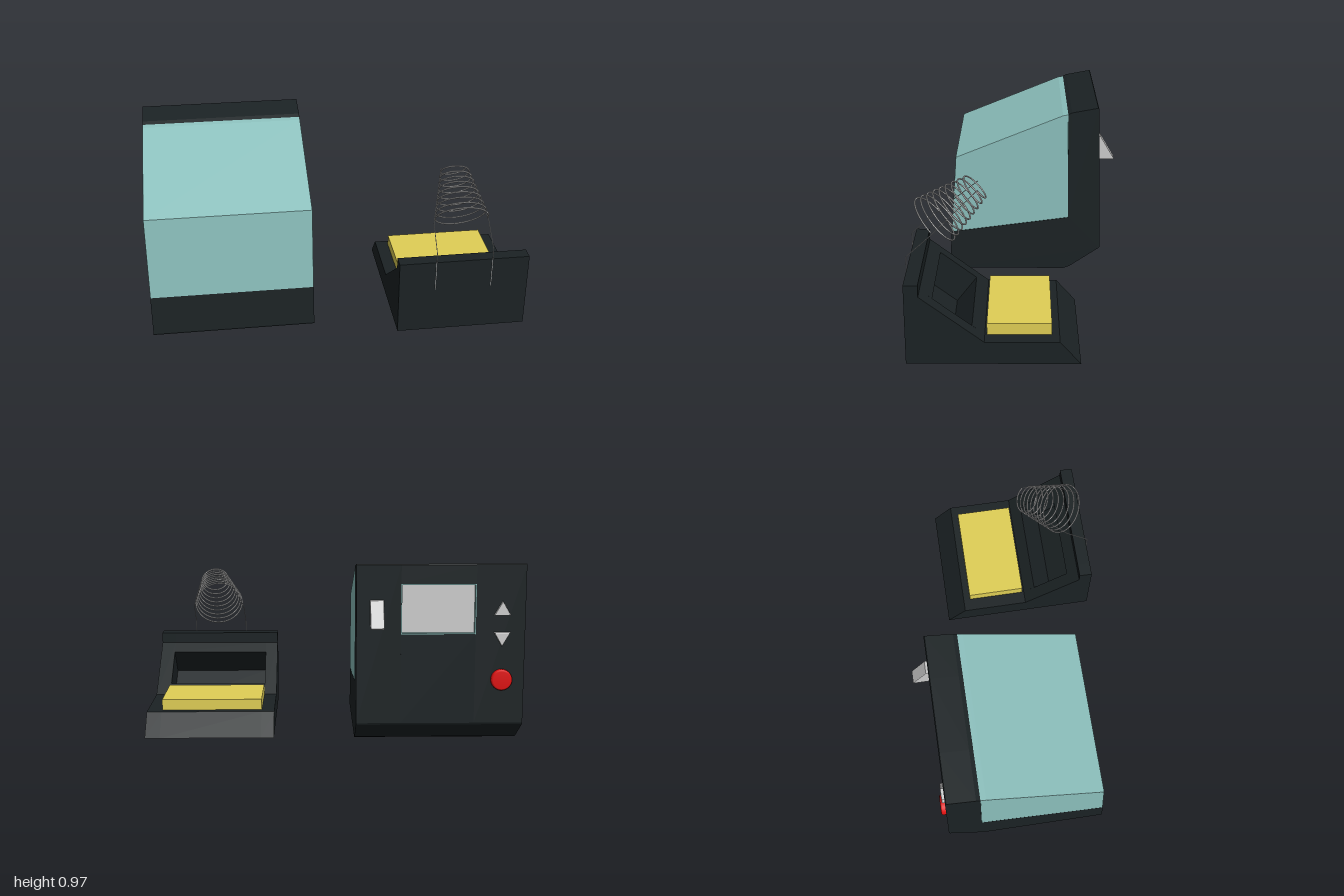
import * as THREE from 'three';

const mat = (color) => new THREE.MeshStandardMaterial({ color });
const dark = mat(0x1b2224), teal = mat(0x8cc0bd), yellow = mat(0xe0cf55), red = mat(0xdd1010), grey = mat(0xcccccc);

function add(parent, name, geometry, material, x = 0, y = 0, z = 0) {
  const mesh = new THREE.Mesh(geometry, material);
  mesh.name = name;
  mesh.position.set(x, y, z);
  parent.add(mesh);
  return mesh;
}

const shapeOf = (pts) => new THREE.Shape(pts.map(([a, b]) => new THREE.Vector2(a, b)));

// Side profile of [z, y] points, extruded from x0 to x1
function prism(pts, x0, x1, bevel = 0) {
  const geo = new THREE.ExtrudeGeometry(shapeOf(pts), {
    depth: x1 - x0 - 2 * bevel, bevelEnabled: bevel > 0, bevelSize: bevel,
    bevelThickness: bevel, bevelOffset: -bevel, bevelSegments: 2,
  });
  return geo.rotateY(-Math.PI / 2).translate(x1 - bevel, 0, 0);
}

// Solid prism whose middle slice uses a notched profile, leaving a pocket
function pocketed(parent, name, before, notch, after, xs) {
  const solid = [...before, ...after];
  const cut = [...before, ...notch, ...after];
  add(parent, name + 'RightSlice', prism(solid, xs[0], xs[1]), dark);
  add(parent, name + 'MiddleSlice', prism(cut, xs[1], xs[2]), dark);
  add(parent, name + 'LeftSlice', prism(solid, xs[2], xs[3]), dark);
}

function createStation() {
  const station = new THREE.Group();
  station.name = 'controlStation';
  const backZ = (y) => -0.475 + 0.03 * (y - 0.14);
  const bottom = 0.61, top = 0.87, depth = 0.04;

  // Dark base and rear shell, with a recess for the display
  pocketed(station, 'darkShell',
    [[0.395, 0], [0.4, 0.01], [0.385, 0.23], [-0.287, 0.32], [-0.279, 0.935], [-0.3, 0.946], [-0.445, 0.973], [-0.45, 0.968]],
    [[backZ(top), top], [backZ(top) + depth, top], [backZ(bottom) + depth, bottom], [backZ(bottom), bottom]],
    [[-0.475, 0.14], [-0.47, 0.13], [-0.3, 0.013], [-0.265, 0]],
    [-1, -0.745, -0.36, -0.13]);

  // Sloped teal housing
  add(station, 'housing', prism(
    [[0.385, 0.23], [0.353, 0.685], [-0.25, 0.93], [-0.279, 0.935], [-0.287, 0.32]], -1, -0.13, 0.003), teal);

  // Controls on the tilted rear face; local z = 0 is the face
  const panel = new THREE.Group();
  panel.name = 'rearControls';
  panel.position.z = backZ(0);
  panel.rotation.x = 0.03;
  station.add(panel);

  const rect = (w, h) => [[-w, -h], [w, -h], [w, h], [-w, h]];
  const frame = shapeOf(rect(0.193, 0.1305));
  frame.holes.push(shapeOf(rect(0.188, 0.1255)));
  add(panel, 'displayFrame', new THREE.ExtrudeGeometry(frame, { depth: 0.04, bevelEnabled: false }), teal, -0.5525, 0.74, 0);
  add(panel, 'display', new THREE.BoxGeometry(0.38, 0.255, 0.012), grey, -0.5525, 0.74, 0.035);

  for (const s of [1, -1]) {
    const tri = shapeOf([[-0.043, -0.036 * s], [0.043, -0.036 * s], [0, 0.038 * s]]);
    const geo = new THREE.ExtrudeGeometry(tri, {
      depth: 0.014, bevelSize: 0.006, bevelOffset: -0.006, bevelThickness: 0.006, bevelSegments: 2,
    });
    add(panel, s > 0 ? 'upButton' : 'downButton', geo, grey, -0.88, 0.665 + 0.08 * s, -0.01);
  }

  const dome = [[0, 0.027], [0.045, 0.027], [0.052, 0.024], [0.055, 0.018], [0.055, -0.01]].reverse();
  const power = new THREE.LatheGeometry(dome.map(([r, h]) => new THREE.Vector2(r, h)), 32).rotateX(-Math.PI / 2);
  add(panel, 'powerButton', power, red, -0.882, 0.372, 0);

  // Wedge-shaped lever
  add(station, 'wedgeLever', prism(
    [[-0.45, 0.79], [-0.468, 0.787], [-0.545, 0.657], [-0.54, 0.65], [-0.45, 0.65]], -0.27, -0.2, 0.004), grey);
  return station;
}

function createStand() {
  const stand = new THREE.Group();
  stand.name = 'toolStand';

  // Stand body with a pocket cut square into its slope
  pocketed(stand, 'standBody',
    [[0.54, 0.012], [0.54, 0.43], [0.47, 0.43], [0.47, 0.37]],
    [[0.41, 0.324], [0.517, 0.185], [0.327, 0.039], [0.22, 0.178]],
    [[0.158, 0.13], [-0.208, 0.13], [-0.312, 0.012]],
    [0.305, 0.375, 0.92, 1]);

  add(stand, 'sponge', new THREE.BoxGeometry(0.545, 0.06, 0.318), yellow, 0.6475, 0.159, -0.011);

  // Conical spring, wide at the front and narrowing up and back
  const start = new THREE.Vector3(0.65, 0.615, 0.42);
  const end = new THREE.Vector3(0.65, 0.805, 0.195);
  const axis = end.clone().sub(start).normalize();
  const side = new THREE.Vector3(1, 0, 0);
  const up = side.clone().cross(axis).normalize();
  const turns = 9, points = [];
  for (let i = 0; i <= turns * 24; i++) {
    const t = i / (turns * 24), a = t * turns * Math.PI * 2;
    const r = THREE.MathUtils.lerp(0.142, 0.07, t);
    points.push(start.clone().lerp(end, t)
      .addScaledVector(side, r * Math.cos(a)).addScaledVector(up, r * Math.sin(a)));
  }
  add(stand, 'springCoil', new THREE.TubeGeometry(new THREE.CatmullRomCurve3(points), turns * 40, 0.004, 6), grey);

  // Wire legs running down the cone to the front of the stand
  for (const s of [1, -1]) {
    const path = new THREE.CurvePath();
    const leg = [[0.15, 0.265, 0.543], [0.15, 0.49, 0.543], [0.147, 0.6, 0.42], [0.07, 0.805, 0.195]]
      .map(([x, y, z]) => new THREE.Vector3(0.65 + s * x, y, z));
    for (let i = 0; i < 3; i++) path.add(new THREE.LineCurve3(leg[i], leg[i + 1]));
    add(stand, s > 0 ? 'leftWireLeg' : 'rightWireLeg', new THREE.TubeGeometry(path, 60, 0.002, 6), grey);
  }
  return stand;
}

export function createModel() {
  const model = new THREE.Group();
  model.name = 'solderingStation';
  model.add(createStation(), createStand());
  return model;
}
